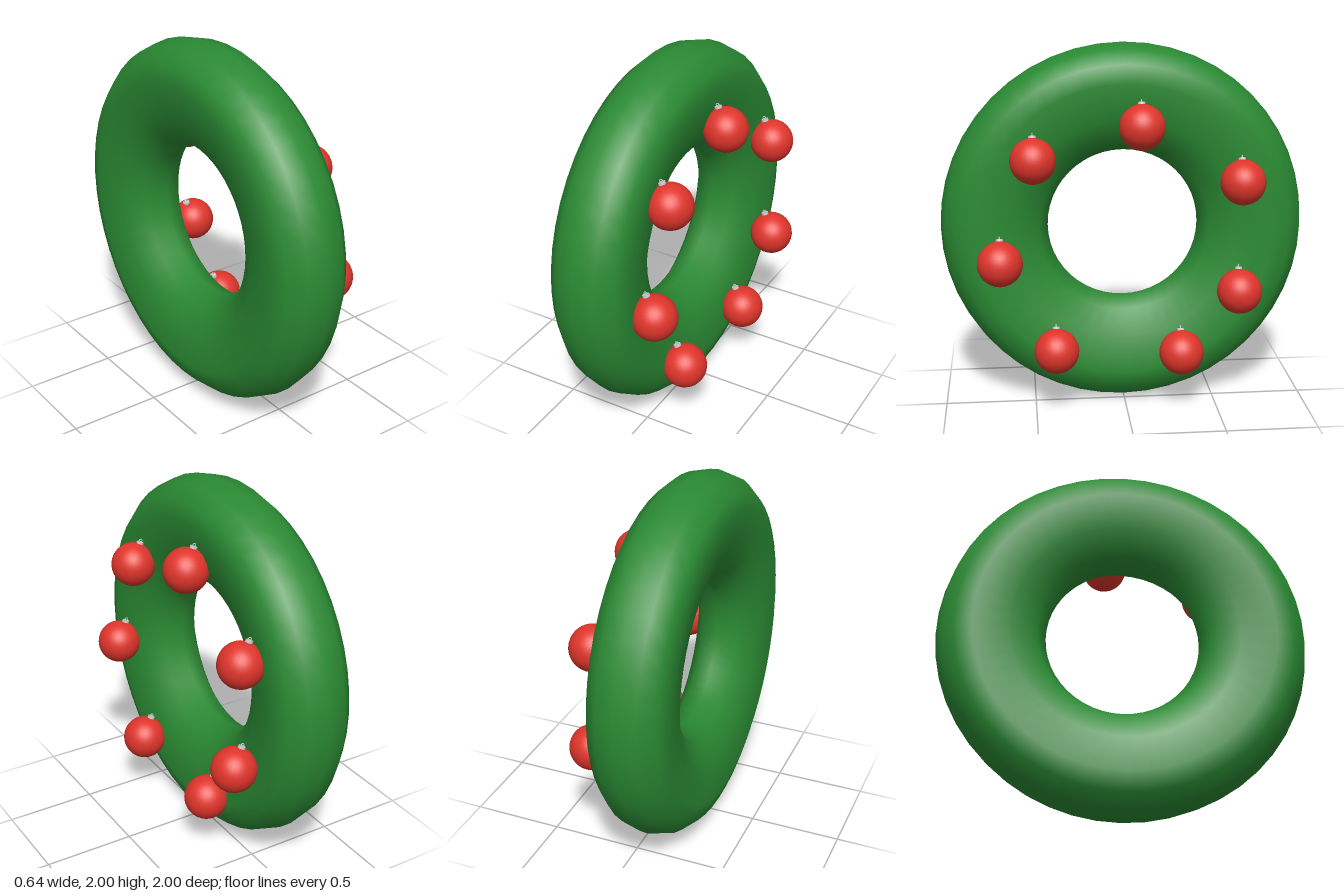
import * as THREE from 'three';

const GREEN = new THREE.MeshStandardMaterial({ color: 0x2a8a33 });
const RED = new THREE.MeshStandardMaterial({ color: 0xe0352b });
const GREY = new THREE.MeshStandardMaterial({ color: 0xcccccc });

// Ring whose tube is flattened along the axis and stretched towards the hole
function ringGeometry(major, outer, inner, depth) {
  const geo = new THREE.TorusGeometry(major, 1, 12, 48);
  const { position, normal, uv } = geo.attributes;
  for (let i = 0; i < position.count; i++) {
    const around = uv.getX(i) * Math.PI * 2;
    const tube = uv.getY(i) * Math.PI * 2;
    const c = Math.cos(tube), s = Math.sin(tube);
    const reach = c > 0 ? outer : inner;
    const r = major + reach * c;
    position.setXYZ(i, r * Math.cos(around), r * Math.sin(around), depth * s);
    const n = new THREE.Vector3(
      (c / reach) * Math.cos(around), (c / reach) * Math.sin(around), s / depth).normalize();
    normal.setXYZ(i, n.x, n.y, n.z);
  }
  return geo.rotateY(Math.PI / 2);
}

// Ball with a small metal cap and hanging loop
function makeBauble(radius) {
  const bauble = new THREE.Group();
  bauble.name = 'bauble';
  const ball = new THREE.Mesh(new THREE.SphereGeometry(radius, 32, 20), RED);
  ball.name = 'ball';
  const cap = new THREE.Mesh(new THREE.CylinderGeometry(0.02, 0.02, 0.02, 12), GREY);
  cap.name = 'cap';
  cap.position.y = radius + 0.001;
  const loop = new THREE.Mesh(new THREE.TorusGeometry(0.009, 0.003, 6, 12), GREY);
  loop.name = 'hangingLoop';
  loop.position.y = radius + 0.016;
  bauble.add(ball, cap, loop);
  return bauble;
}

export function createModel() {
  const model = new THREE.Group();
  model.name = 'wreath';

  const ring = new THREE.Mesh(ringGeometry(0.805, 0.195, 0.39, 0.217), GREEN);
  ring.name = 'ring';
  ring.position.set(-0.108, 1, 0);
  model.add(ring);

  // Bauble centres on the decorated face
  const centres = [
    [0.16, 1.585, -0.08], [0.16, 1.415, 0.495], [0.17, 0.862, 0.68], [0.176, 0.36, 0.385],
    [0.171, 0.327, -0.3], [0.197, 0.68, -0.61], [0.171, 1.28, -0.62],
  ];
  for (const centre of centres) {
    const bauble = makeBauble(0.122);
    bauble.position.set(...centre);
    bauble.rotation.z = 0.37; // cap leans towards the ring
    model.add(bauble);
  }
  return model;
}
